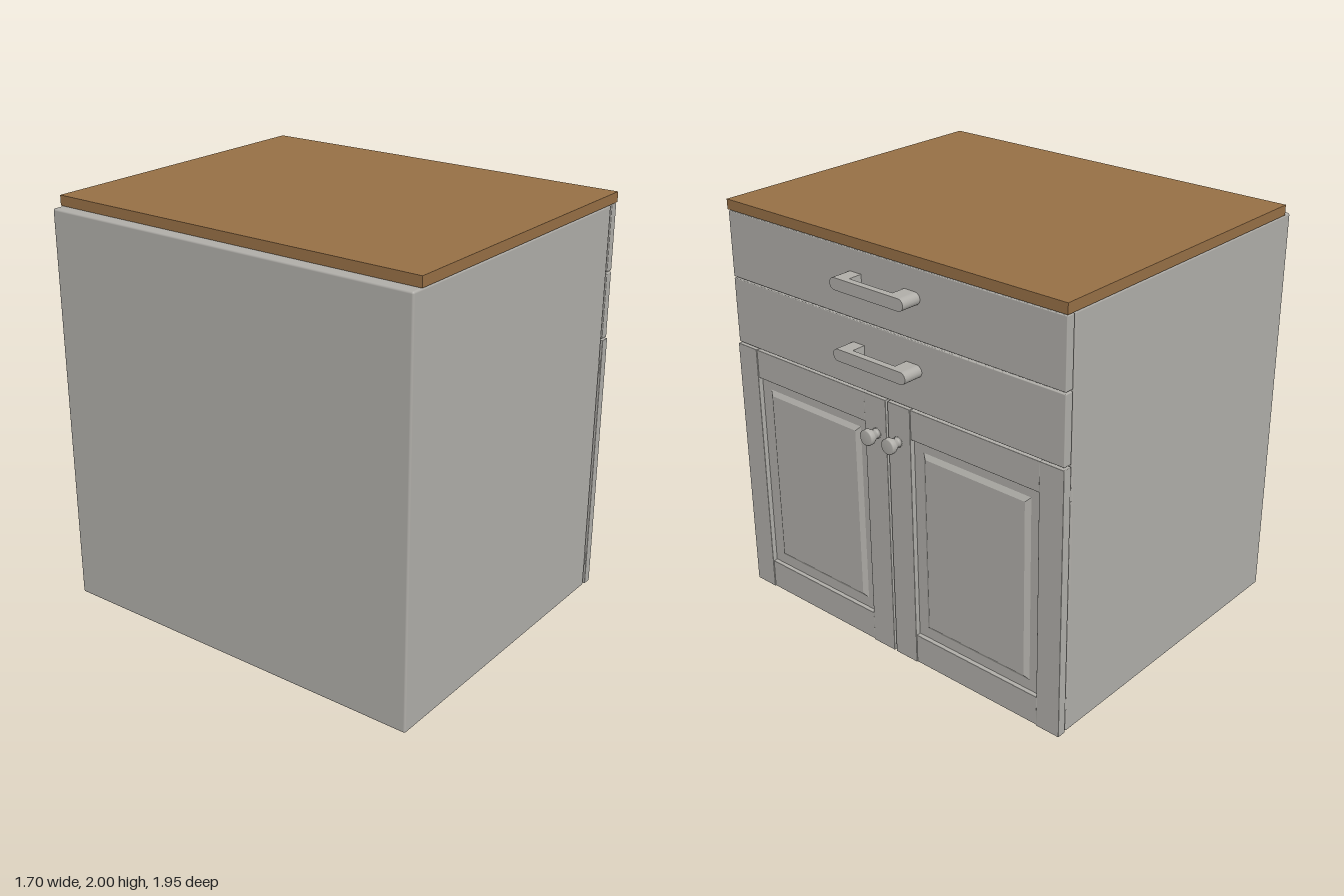
import * as THREE from 'three';
import { RoundedBoxGeometry } from 'three/addons/geometries/RoundedBoxGeometry.js';

const grey = new THREE.MeshStandardMaterial({ color: 0xafada8 });
grey.name = 'painted grey';
const wood = new THREE.MeshStandardMaterial({ color: 0x966f45 });
wood.name = 'wood';

// Box given by its limits on each axis, with an optional rounded edge
function box(parent, name, [x0, x1], [y0, y1], [z0, z1], mat = grey, r = 0) {
  const s = [x1 - x0, y1 - y0, z1 - z0];
  const g = r ? new RoundedBoxGeometry(...s, 2, r) : new THREE.BoxGeometry(...s);
  const m = new THREE.Mesh(g, mat);
  m.name = name;
  m.position.set((x0 + x1) / 2, (y0 + y1) / 2, (z0 + z1) / 2);
  parent.add(m);
  return m;
}

// Rounded bar: outline lies across z and y, thickness runs along x
function stadium(parent, name, x0, x1, y, z0, z1, r, roundA = true, roundB = true) {
  const s = new THREE.Shape();
  const a = -z1, b = -z0; // shape x is minus z
  if (roundA) s.absarc(a + r, 0, r, Math.PI / 2, Math.PI * 1.5, false);
  else { s.moveTo(a, r); s.lineTo(a, -r); }
  if (roundB) s.absarc(b - r, 0, r, -Math.PI / 2, Math.PI / 2, false);
  else { s.lineTo(b, -r); s.lineTo(b, r); }
  s.closePath();
  const g = new THREE.ExtrudeGeometry(s, { depth: x1 - x0, bevelEnabled: false, curveSegments: 10 });
  g.rotateY(Math.PI / 2);
  const m = new THREE.Mesh(g, grey);
  m.name = name;
  m.position.set(x0, y, 0);
  parent.add(m);
}

// Raised field: a box whose outer face is drawn in to make sloping edges
function raisedField(parent, [x0, x1], ys, zs, inset) {
  const m = box(parent, 'raisedField', [x0, x1], ys, zs);
  const g = m.geometry.toNonIndexed(), p = g.attributes.position;
  for (let i = 0; i < p.count; i++) {
    if (p.getX(i) < 0) continue;
    p.setY(i, p.getY(i) - Math.sign(p.getY(i)) * inset);
    p.setZ(i, p.getZ(i) - Math.sign(p.getZ(i)) * inset);
  }
  g.computeVertexNormals();
  m.geometry = g;
}

function handle(parent, y) {
  const h = new THREE.Group();
  h.name = 'drawerHandle';
  stadium(h, 'grip', 0.818, 0.85, y, -0.213, 0.213, 0.028);
  stadium(h, 'leftPost', 0.75, 0.818, y, 0.125, 0.213, 0.028, true, false);
  stadium(h, 'rightPost', 0.75, 0.818, y, -0.213, -0.125, 0.028, false, true);
  parent.add(h);
}

function door(parent, side) {
  const d = new THREE.Group();
  d.name = side > 0 ? 'leftDoor' : 'rightDoor';
  const span = (a, b) => (side > 0 ? [a, b] : [-b, -a]);
  const X = [0.71, 0.755];
  // Frame
  box(d, 'innerStile', X, [0.005, 1.3], span(0.006, 0.138), grey, 0.003);
  box(d, 'outerStile', X, [0.005, 1.3], span(0.848, 0.973), grey, 0.003);
  box(d, 'topRail', [0.71, 0.752], [1.157, 1.298], span(0.138, 0.848), grey, 0.003);
  box(d, 'bottomRail', [0.71, 0.752], [0.007, 0.153], span(0.138, 0.848), grey, 0.003);
  // Panel
  box(d, 'panel', [0.716, 0.73], [0.15, 1.16], span(0.135, 0.85));
  raisedField(d, [0.73, 0.745], [0.205, 1.105], span(0.192, 0.79), 0.022);
  // Hinges
  for (const y of [0.15, 1.17]) box(d, 'hinge', [0.698, 0.718], [y - 0.03, y + 0.03], span(0.93, 0.97));
  // Knob
  const profile = [[0, 0], [0.026, 0], [0.021, 0.012], [0.021, 0.018], [0.034, 0.04],
    [0.037, 0.045], [0.037, 0.066], [0.033, 0.07], [0, 0.07]].map(([a, b]) => new THREE.Vector2(a, b));
  const knob = new THREE.Mesh(new THREE.LatheGeometry(profile, 24), grey);
  knob.name = 'knob';
  knob.rotation.z = -Math.PI / 2;
  knob.position.set(0.755, 1.125, side * 0.065);
  d.add(knob);
  parent.add(d);
}

export function createModel() {
  const model = new THREE.Group();
  model.name = 'cabinet';

  // Carcass and worktop
  box(model, 'carcass', [-0.855, 0.7], [0.003, 1.95], [-0.97, 0.97], grey, 0.01);
  box(model, 'worktop', [-0.803, 0.752], [1.952, 2], [-0.973, 0.973], wood);

  // Drawers
  for (const [y0, y1] of [[1.308, 1.625], [1.632, 1.946]]) {
    box(model, 'drawerFront', [0.706, 0.75], [y0, y1], [-0.97, 0.97], grey, 0.004);
    box(model, 'drawerBack', [0.695, 0.71], [y0 + 0.02, y1 - 0.02], [-0.93, 0.93]);
    handle(model, y0 + 0.185);
  }

  // Doors
  for (const side of [1, -1]) door(model, side);
  return model;
}
